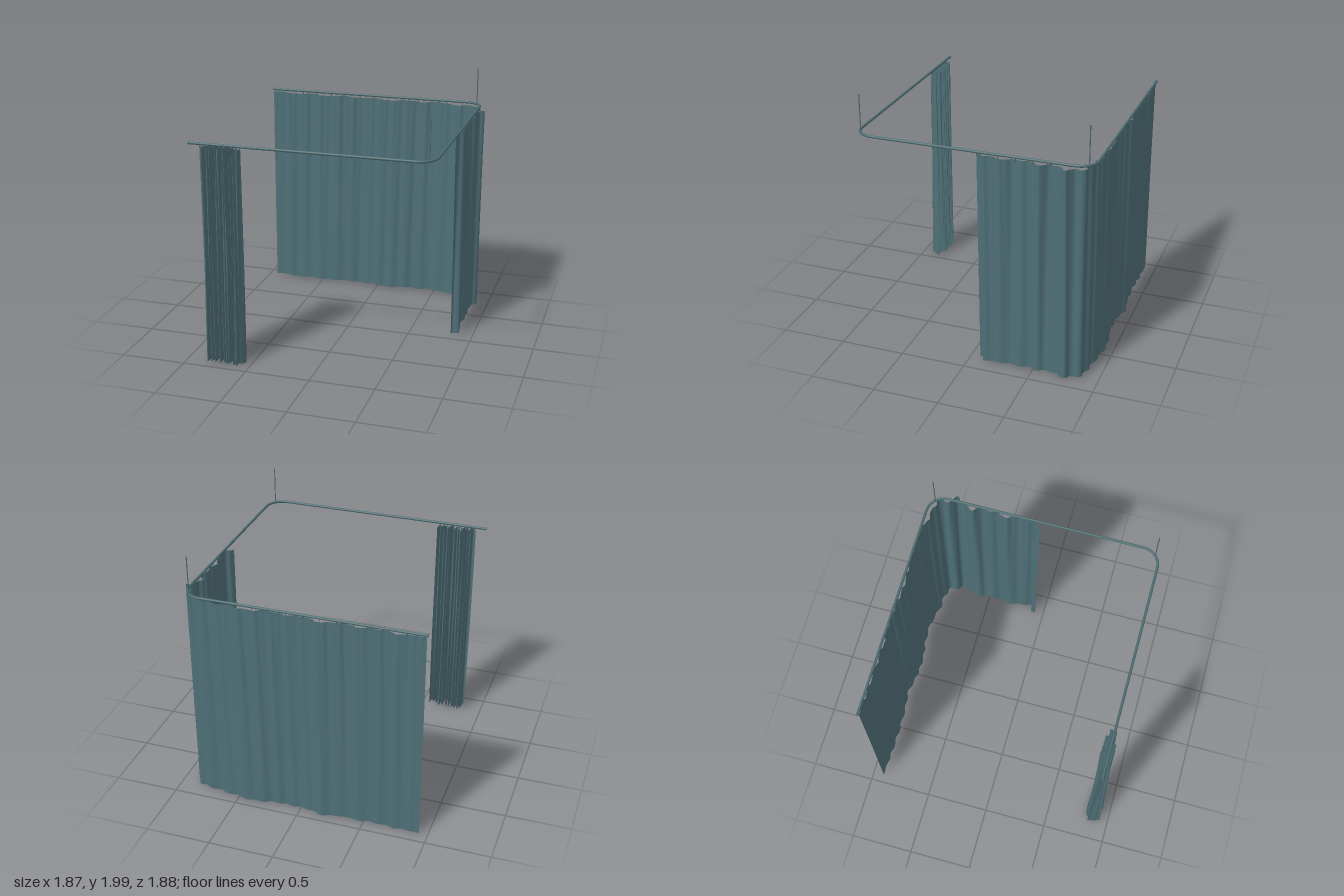
import * as THREE from 'three';

const RAIL_Y = 1.705, X = 0.87, ZF = 0.87, ZB = -0.92, R = 0.135;

const v = (x, z, y = 0) => new THREE.Vector3(x, y, z);

// seeded random numbers for natural folds
function seeded(seed) {
  return () => {
    seed = (seed * 16807) % 2147483647;
    return seed / 2147483647;
  };
}

// cloth hung between a top and a bottom plan curve; ripple(u, t) adds depth along the curve's normal
function cloth(top, bottom, nu, nv, y0, y1, ripple) {
  const geo = new THREE.PlaneGeometry(1, 1, nu, nv);
  const pos = geo.attributes.position;
  const a = top.getSpacedPoints(nu), b = bottom.getSpacedPoints(nu);
  for (let i = 0; i <= nu; i++) {
    const tangent = top.getTangentAt(i / nu);
    for (let j = 0; j <= nv; j++) {
      const t = j / nv, u = i / nu;
      const p = a[i].clone().lerp(b[i], t);
      const d = ripple(u, t);
      const lift = 0.006 * Math.sin(u * 61) * (t < 0.01 ? 1 : t > 0.99 ? 0.6 : 0);
      pos.setXYZ(j * (nu + 1) + i, p.x - tangent.z * d, y1 + (y0 - y1) * t + lift, p.z + tangent.x * d);
    }
  }
  geo.computeVertexNormals();
  return geo;
}

export function createModel() {
  const group = new THREE.Group();
  const fabric = new THREE.MeshStandardMaterial({ color: 0x4f7078, side: THREE.DoubleSide });
  fabric.name = 'teal fabric';
  const metal = new THREE.MeshStandardMaterial({ color: 0x4c6c70 });
  metal.name = 'teal metal';
  const add = (name, geo, mat, x = 0, y = 0, z = 0) => {
    const mesh = new THREE.Mesh(geo, mat);
    mesh.name = name;
    mesh.position.set(x, y, z);
    group.add(mesh);
    return mesh;
  };

  // U-shaped rail with two rounded corners
  const k = R * 0.45;
  const at = (x, z) => v(x, z, RAIL_Y);
  const rail = new THREE.CurvePath();
  rail.add(new THREE.LineCurve3(at(-0.94, ZF), at(X - R, ZF)));
  rail.add(new THREE.CubicBezierCurve3(at(X - R, ZF), at(X - k, ZF), at(X, ZF - k), at(X, ZF - R)));
  rail.add(new THREE.LineCurve3(at(X, ZF - R), at(X, ZB + R)));
  rail.add(new THREE.CubicBezierCurve3(at(X, ZB + R), at(X, ZB + k), at(X - k, ZB), at(X - R, ZB)));
  rail.add(new THREE.LineCurve3(at(X - R, ZB), at(-0.94, ZB)));
  add('rail', new THREE.TubeGeometry(rail, 240, 0.01, 10), metal);
  for (const z of [ZF, ZB]) {
    add('railCap', new THREE.CylinderGeometry(0.0115, 0.0115, 0.008, 12), metal, -0.939, RAIL_Y, z).rotation.z = Math.PI / 2;
  }

  // ceiling rods at the corners
  for (const z of [0.832, -0.877]) {
    add('ceilingRod', new THREE.CylinderGeometry(0.004, 0.004, 0.3, 8), metal, 0.83, 1.85, z);
  }

  // long curtain: along the back, round the corner and partway down the left side
  const topPlan = [
    [-0.935, -0.915], [-0.6, -0.912], [-0.3, -0.912], [-0.18, -0.925], [-0.05, -0.912], [0.15, -0.906],
    [0.3, -0.918], [0.45, -0.926], [0.58, -0.915], [0.68, -0.895], [0.78, -0.875], [0.85, -0.865],
    [0.86, -0.81], [0.89, -0.755], [0.915, -0.715], [0.865, -0.66], [0.85, -0.6], [0.878, -0.54],
    [0.868, -0.45], [0.858, -0.36], [0.868, -0.27], [0.882, -0.18], [0.872, -0.12], [0.845, -0.095], [0.842, -0.055],
  ];
  const bottomPlan = topPlan.map(([x, z], i) => {
    const onSide = i > 10;
    return onSide
      ? [x + 0.012 * Math.sin(i * 2.1), z - (i > 22 ? 0.015 : 0)]
      : [x, z + 0.008 * Math.sin(i * 1.7)];
  });
  const plan = (pts) => {
    const c = new THREE.CatmullRomCurve3(pts.map(([x, z]) => v(x, z)));
    c.arcLengthDivisions = 1000;
    return c;
  };
  const longRipple = (u, t) => {
    const size = u < 0.05 ? 0.003 : u < 0.6 ? 0.007 : 0.011;
    return size * Math.sin(u * 128 + 1.2 * Math.sin(u * 17) + 0.5 * t)
      + 0.003 * (1 - t) * Math.sin(u * 290 + t * 3);
  };
  add('longCurtain', cloth(plan(topPlan), plan(bottomPlan), 320, 24, 0.012, 1.682, longRipple), fabric);

  // bunched curtain: deep, tight pleats gathered at the open front end
  const rand = seeded(41);
  const gatheredTop = [], gatheredBottom = [];
  const folds = 22;
  for (let i = 0; i <= folds; i++) {
    const side = i % 2 ? 1 : -1;
    const x = -0.86 + 0.3 * i / folds + (rand() - 0.5) * 0.016;
    const taper = i < 2 || i > folds - 3 ? 0.55 : 1;
    gatheredTop.push([x, 0.858 + side * taper * (0.032 + 0.018 * rand())]);
    gatheredBottom.push([x + (rand() - 0.5) * 0.016, 0.872 + side * taper * (0.045 + 0.023 * rand())]);
  }
  const bunchRipple = (u, t) => 0.003 * Math.sin(u * 150 + t * 4);
  add('bunchedCurtain', cloth(plan(gatheredTop), plan(gatheredBottom), 360, 20, 0.01, 1.682, bunchRipple), fabric);

  // small hooks joining the curtains to the rail
  const hook = new THREE.CylinderGeometry(0.003, 0.003, 0.03, 6);
  for (let i = 0; i < 14; i++) add('backHook', hook, metal, -0.92 + i * 0.125, 1.686, ZB);
  for (let i = 0; i < 6; i++) add('sideHook', hook, metal, X, 1.686, -0.75 + i * 0.13);
  for (let i = 0; i < 9; i++) add('bunchHook', hook, metal, -0.85 + i * 0.035, 1.686, ZF);

  return group;
}
